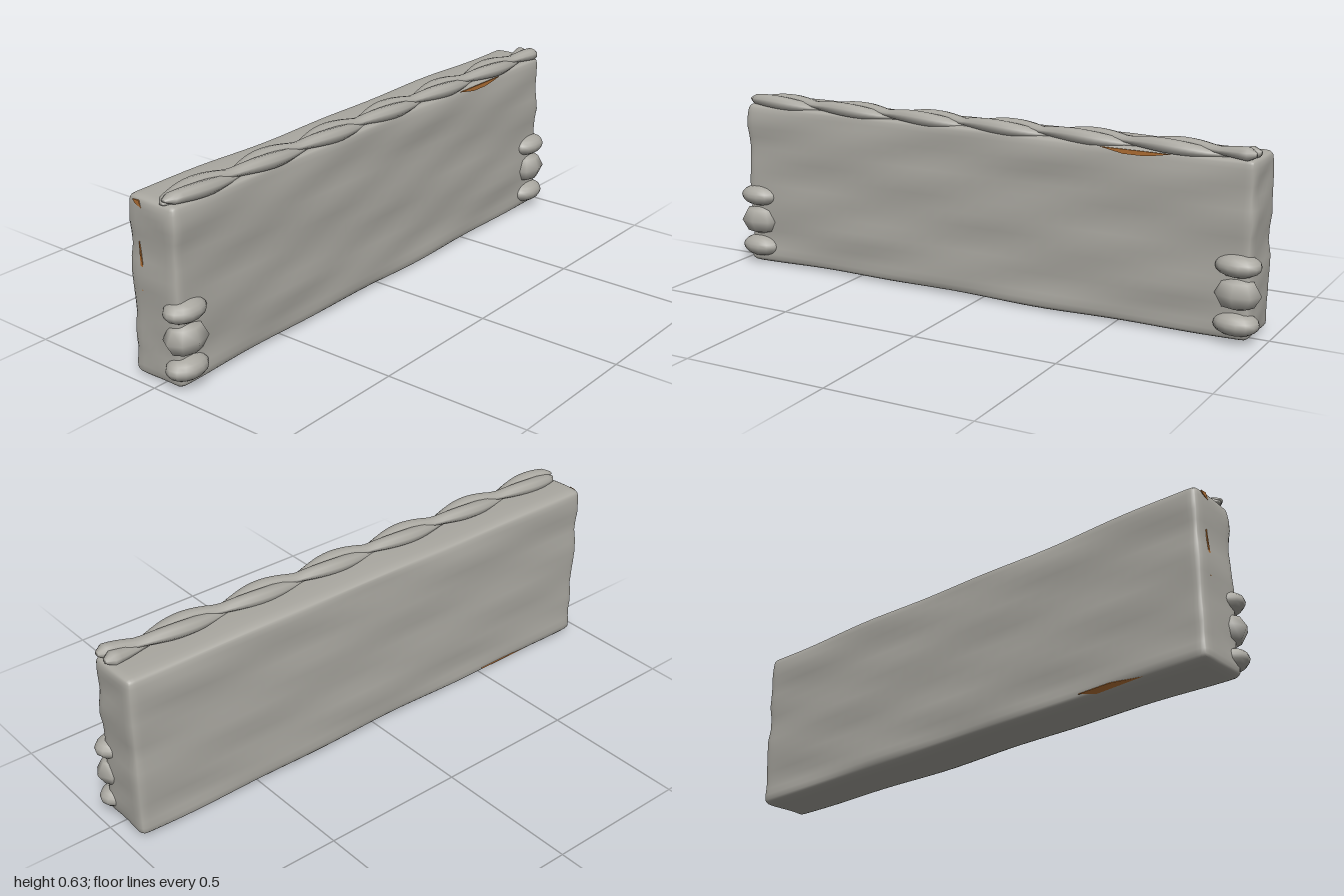
import * as THREE from 'three';
import { mergeVertices } from 'three/addons/utils/BufferGeometryUtils.js';

const stone = new THREE.MeshStandardMaterial({ color: 0xaaa8a1 });
stone.name = 'stone grey';
const clay = new THREE.MeshStandardMaterial({ color: 0xb06f34, side: THREE.DoubleSide });
clay.name = 'clay orange';

function addMesh(parent, name, geometry, material) {
  const mesh = new THREE.Mesh(geometry, material);
  mesh.name = name;
  parent.add(mesh);
  return mesh;
}

// Box with soft rounded edges and gently uneven, hand-worked faces
function slabGeometry() {
  const half = new THREE.Vector3(0.96, 0.293, 0.098), r = 0.026;
  let g = new THREE.BoxGeometry(2, 2, 2, 48, 20, 10);
  g.deleteAttribute('normal');
  g.deleteAttribute('uv');
  g = mergeVertices(g);
  const pos = g.attributes.position;
  const p = new THREE.Vector3(), core = new THREE.Vector3(), n = new THREE.Vector3();
  const inner = half.clone().subScalar(r);
  for (let i = 0; i < pos.count; i++) {
    p.fromBufferAttribute(pos, i);
    // crowd the rings towards the edges
    for (const a of ['x', 'y', 'z']) p[a] = Math.sin(p[a] * Math.PI / 2) * half[a];
    core.copy(p).clamp(inner.clone().negate(), inner);
    n.copy(p).sub(core).normalize();
    const wave = 0.0025 * Math.sin(p.x * 5 + p.y * 23 + p.z * 9)
      + 0.002 * Math.sin(p.x * 11 - p.y * 37 + 1) + 0.0015 * Math.sin(p.y * 52 + p.z * 30);
    p.copy(core).addScaledVector(n, r + wave);
    pos.setXYZ(i, p.x - 0.004, p.y + 0.299, p.z - 0.02);
  }
  g.computeVertexNormals();
  return g;
}

// One twisted strand of the rope, swelling between the crossings
function strandGeometry(side) {
  const steps = 78, around = 10, x0 = -0.96, x1 = 0.95;
  const points = [], index = [];
  for (let i = 0; i <= steps; i++) {
    const x = x0 + (x1 - x0) * i / steps;
    const phase = Math.PI * (x + 0.68) / 0.3;
    const swell = Math.abs(Math.sin(phase));
    const end = i === 0 || i === steps ? 0.35 : 1;
    const y = 0.597 + side * 0.006 * Math.cos(phase) + 0.006 * swell;
    const z = 0.034 + side * 0.023 * Math.sin(phase);
    const ry = (0.012 + 0.012 * swell) * end, rz = (0.024 + 0.006 * swell) * end;
    for (let j = 0; j < around; j++) {
      const a = j / around * Math.PI * 2;
      points.push(x, y + Math.cos(a) * ry, z + Math.sin(a) * rz);
    }
  }
  for (let i = 0; i < steps; i++) {
    for (let j = 0; j < around; j++) {
      const a = i * around + j, b = i * around + (j + 1) % around;
      index.push(a, a + around, b, b, a + around, b + around);
    }
  }
  for (let j = 1; j < around - 1; j++) {
    const e = steps * around;
    index.push(0, j, j + 1, e, e + j + 1, e + j);
  }
  const g = new THREE.BufferGeometry();
  g.setAttribute('position', new THREE.Float32BufferAttribute(points, 3));
  // put the winding facing outwards
  for (let k = 0; k < index.length; k += 3) [index[k + 1], index[k + 2]] = [index[k + 2], index[k + 1]];
  g.setIndex(index);
  g.computeVertexNormals();
  return g;
}

// Thin irregular chip of clay showing through the surface
function chipGeometry(outline) {
  const shape = new THREE.Shape(outline.map(([x, y]) => new THREE.Vector2(x, y)));
  return new THREE.ExtrudeGeometry(shape, { depth: 0.004, bevelEnabled: false });
}

export function createModel() {
  const model = new THREE.Group();
  model.name = 'wallBlock';
  addMesh(model, 'slab', slabGeometry(), stone);

  // Rope along the top front edge
  const rope = new THREE.Group();
  rope.name = 'topRope';
  model.add(rope);
  addMesh(rope, 'ropeStrandA', strandGeometry(1), stone);
  addMesh(rope, 'ropeStrandB', strandGeometry(-1), stone);

  // Three stacked beads on each lower front corner
  for (const side of [-1, 1]) {
    const stack = new THREE.Group();
    stack.name = side > 0 ? 'leftBeads' : 'rightBeads';
    stack.position.set(side > 0 ? 0.91 : -0.92, 0, 0.063);
    model.add(stack);
    [[0.253, 0.038, 14, 10], [0.162, 0.056, 8, 4], [0.064, 0.039, 14, 10]].forEach(([y, h, w, rows], i) => {
      const bead = addMesh(stack, 'bead' + (i + 1), new THREE.SphereGeometry(1, w, rows), stone);
      bead.position.y = y;
      bead.scale.set(i === 1 ? 0.08 : 0.076, h, i === 1 ? 0.059 : 0.055);
    });
  }

  // Clay chips: below the rope, on the right end, and on the lower back edge
  const front = addMesh(model, 'frontChip', chipGeometry(
    [[0.44, 0.582], [0.52, 0.567], [0.59, 0.567], [0.64, 0.574], [0.68, 0.582]]), clay);
  front.position.z = 0.076;

  const end = addMesh(model, 'endChip', chipGeometry(
    [[-0.055, 0.36], [-0.045, 0.31], [-0.065, 0.29], [-0.069, 0.45]]), clay);
  end.rotation.y = -Math.PI / 2;
  end.position.x = -0.961;

  const top = addMesh(model, 'topEndChip', chipGeometry(
    [[0.05, 0.56], [0.06, 0.583], [0.085, 0.581], [0.075, 0.57]]), clay);
  top.rotation.y = Math.PI / 2;
  top.position.x = -0.966;

  const back = addMesh(model, 'backChip', chipGeometry(
    [[-0.74, 0], [-0.62, 0.014], [-0.5, 0.012], [-0.56, -0.006]]), clay);
  back.rotation.x = -Math.PI / 4;
  back.position.set(0, 0.013, -0.114);
  return model;
}
